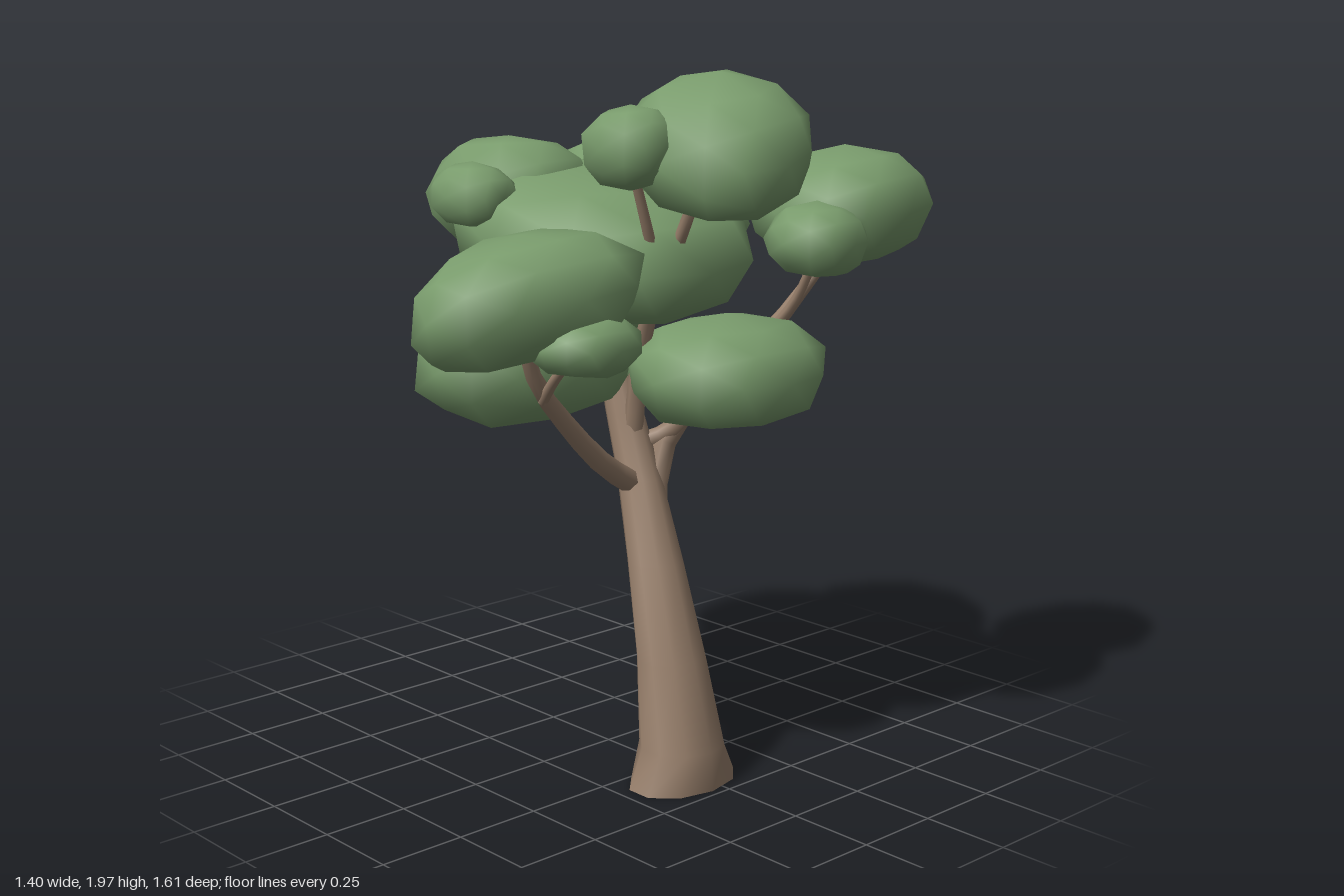
import * as THREE from 'three';
import { mergeVertices } from 'three/addons/utils/BufferGeometryUtils.js';

const bark = new THREE.MeshStandardMaterial({ color: 0x967e6a, side: THREE.DoubleSide });
bark.name = 'bark brown';
const leaf = new THREE.MeshStandardMaterial({ color: 0x799b6c });
leaf.name = 'leaf green';

function seeded(seed) {
  let s = seed * 7919 + 17;
  return () => (s = (s * 16807) % 2147483647) / 2147483647;
}

// Low-poly leaf clump, slightly irregular, fitted to a box.
// Slopes kx and kz lean it; taper narrows it and skew shifts it towards +z;
// a lower power makes it boxier.
function clump({ name, x, y, z, kx = 0, kz = 0, taper = 0, skew = 0, power = 0.88 }, seed) {
  let geo = new THREE.IcosahedronGeometry(1, 1);
  geo.deleteAttribute('uv');
  geo.deleteAttribute('normal');
  geo = mergeVertices(geo, 1e-3);
  const rnd = seeded(seed + 1);
  const p = geo.attributes.position;
  const v = new THREE.Vector3();
  const fuller = c => Math.sign(c) * Math.abs(c) ** power;
  for (let i = 0; i < p.count; i++) {
    v.fromBufferAttribute(p, i);
    v.set(fuller(v.x), fuller(v.y), fuller(v.z)).multiplyScalar(0.95 + 0.1 * rnd());
    p.setXYZ(i, v.x * (1 - taper * v.z) + skew * v.z, v.y + kx * v.x + kz * v.z, v.z);
  }
  geo.computeBoundingBox();
  const b = geo.boundingBox;
  const fit = (value, lo, hi, [a, c]) => a + ((value - lo) / (hi - lo)) * (c - a);
  for (let i = 0; i < p.count; i++) {
    p.setXYZ(i,
      fit(p.getX(i), b.min.x, b.max.x, x),
      fit(p.getY(i), b.min.y, b.max.y, y),
      fit(p.getZ(i), b.min.z, b.max.z, z));
  }
  geo.computeVertexNormals();
  const mesh = new THREE.Mesh(geo, leaf);
  mesh.name = name;
  return mesh;
}

// Horizontal cross-sections [x, y, z, radiusX, radiusZ] joined into an open tube.
function trunkGeometry(rings, sides) {
  const pos = [], idx = [];
  for (const [x, y, z, rx, rz] of rings) {
    for (let j = 0; j < sides; j++) {
      const a = (j / sides) * Math.PI * 2;
      pos.push(x + Math.cos(a) * rx, y, z + Math.sin(a) * rz);
    }
  }
  for (let i = 0; i < rings.length - 1; i++) {
    for (let j = 0; j < sides; j++) {
      const a = i * sides + j, b = i * sides + (j + 1) % sides;
      idx.push(a, a + sides, b, b, a + sides, b + sides);
    }
  }
  const geo = new THREE.BufferGeometry();
  geo.setAttribute('position', new THREE.Float32BufferAttribute(pos, 3));
  geo.setIndex(idx);
  geo.computeVertexNormals();
  return geo;
}

// Curved branch that thins from r0 to r1.
function branch(name, points, r0, r1) {
  const curve = new THREE.CatmullRomCurve3(points.map(q => new THREE.Vector3(...q)));
  const steps = 8, sides = 7;
  const geo = new THREE.TubeGeometry(curve, steps, 1, sides, false);
  const p = geo.attributes.position, v = new THREE.Vector3();
  for (let i = 0; i < p.count; i++) {
    const t = Math.floor(i / (sides + 1)) / steps;
    const c = curve.getPointAt(t);
    v.fromBufferAttribute(p, i).sub(c).multiplyScalar(r0 + (r1 - r0) * t).add(c);
    p.setXYZ(i, v.x, v.y, v.z);
  }
  const mesh = new THREE.Mesh(geo, bark);
  mesh.name = name;
  return mesh;
}

export function createModel() {
  const tree = new THREE.Group();
  tree.name = 'tree';

  // Leaning trunk with a flared foot
  const trunk = new THREE.Mesh(trunkGeometry([
    [0.357, 0, 0.045, 0.123, 0.174],
    [0.357, 0.11, 0.047, 0.118, 0.125],
    [0.308, 0.35, 0.042, 0.092, 0.106],
    [0.21, 0.6, 0.012, 0.078, 0.083],
    [0.115, 0.82, -0.015, 0.067, 0.062],
    [0.04, 1.0, -0.025, 0.058, 0.052],
    [-0.06, 1.32, -0.02, 0.035, 0.035],
  ], 10), bark);
  trunk.name = 'trunk';
  tree.add(trunk);

  const branches = new THREE.Group();
  branches.name = 'branches';
  branches.add(
    branch('frontBranch', [[0.12, 0.8, 0], [0.13, 0.88, 0.13], [0.14, 1.01, 0.27], [0.16, 1.17, 0.41], [0.18, 1.35, 0.48]], 0.036, 0.018),
    branch('frontTwig', [[0.15, 1.1, 0.37], [0.24, 1.18, 0.4], [0.34, 1.28, 0.4]], 0.016, 0.012),
    branch('backBranch', [[0.17, 0.68, -0.015], [0.13, 0.86, -0.07], [0.15, 0.99, -0.14], [0.22, 1.1, -0.25], [0.32, 1.27, -0.38], [0.39, 1.47, -0.52]], 0.042, 0.015),
    branch('backTwig', [[0.29, 1.2, -0.33], [0.39, 1.32, -0.35], [0.48, 1.47, -0.34]], 0.016, 0.012),
    branch('topBranch', [[0.08, 0.9, -0.02], [0.13, 1.15, 0], [0.25, 1.4, 0.04], [0.36, 1.55, 0.05], [0.42, 1.7, 0.07]], 0.03, 0.015),
    branch('topTwig', [[0.24, 1.36, 0.04], [0.31, 1.48, 0.12], [0.34, 1.72, 0.22]], 0.018, 0.013),
    branch('lowBackBranch', [[0.07, 0.9, -0.03], [0.15, 0.95, -0.1], [0.26, 1.12, -0.18]], 0.028, 0.02),
    branch('leftBranch', [[0, 1.08, -0.03], [-0.12, 1.2, -0.1], [-0.35, 1.32, -0.18]], 0.028, 0.018),
  );
  tree.add(branches);

  // Leaf clumps given by their extents
  const crown = new THREE.Group();
  crown.name = 'crown';
  [
    { name: 'mainClump', x: [-0.49, 0.41], y: [1.27, 1.69], z: [-0.42, 0.39], kx: -0.25 },
    { name: 'topClump', x: [0.21, 0.72], y: [1.6, 1.97], z: [-0.18, 0.27], kx: -0.2, kz: -0.2 },
    { name: 'topSmallClump', x: [0.23, 0.5], y: [1.67, 1.89], z: [0.14, 0.36], kx: 0.1 },
    { name: 'backClump', x: [0.13, 0.62], y: [1.4, 1.74], z: [-0.83, -0.3], kz: -0.1, taper: -0.1 },
    { name: 'backSmallClump', x: [0.35, 0.63], y: [1.4, 1.61], z: [-0.46, -0.19] },
    { name: 'frontClump', x: [-0.07, 0.45], y: [1.21, 1.56], z: [0.16, 0.78], kx: 0.15, kz: -0.2, taper: 0.2 },
    { name: 'frontSmallClump', x: [0.21, 0.49], y: [1.2, 1.37], z: [0.24, 0.55] },
    { name: 'upperLeftClump', x: [-0.58, -0.05], y: [1.43, 1.76], z: [-0.1, 0.3], kx: 0.1 },
    { name: 'upperLeftSmallClump', x: [-0.33, -0.06], y: [1.53, 1.71], z: [0.22, 0.42] },
    { name: 'upperBackClump', x: [-0.51, 0.18], y: [1.32, 1.74], z: [-0.53, -0.04], kx: -0.2, kz: -0.08 },
    { name: 'lowerLeftClump', x: [-0.68, -0.1], y: [1.1, 1.44], z: [-0.45, 0.09], kx: 0.1, power: 0.78 },
    { name: 'lowerFrontClump', x: [-0.5, 0.13], y: [0.98, 1.33], z: [-0.17, 0.53], taper: 0.3, skew: 0.2 },
    { name: 'lowerBackClump', x: [0.03, 0.54], y: [0.97, 1.29], z: [-0.46, 0.09] },
  ].forEach((c, i) => crown.add(clump(c, i)));
  tree.add(crown);

  return tree;
}
